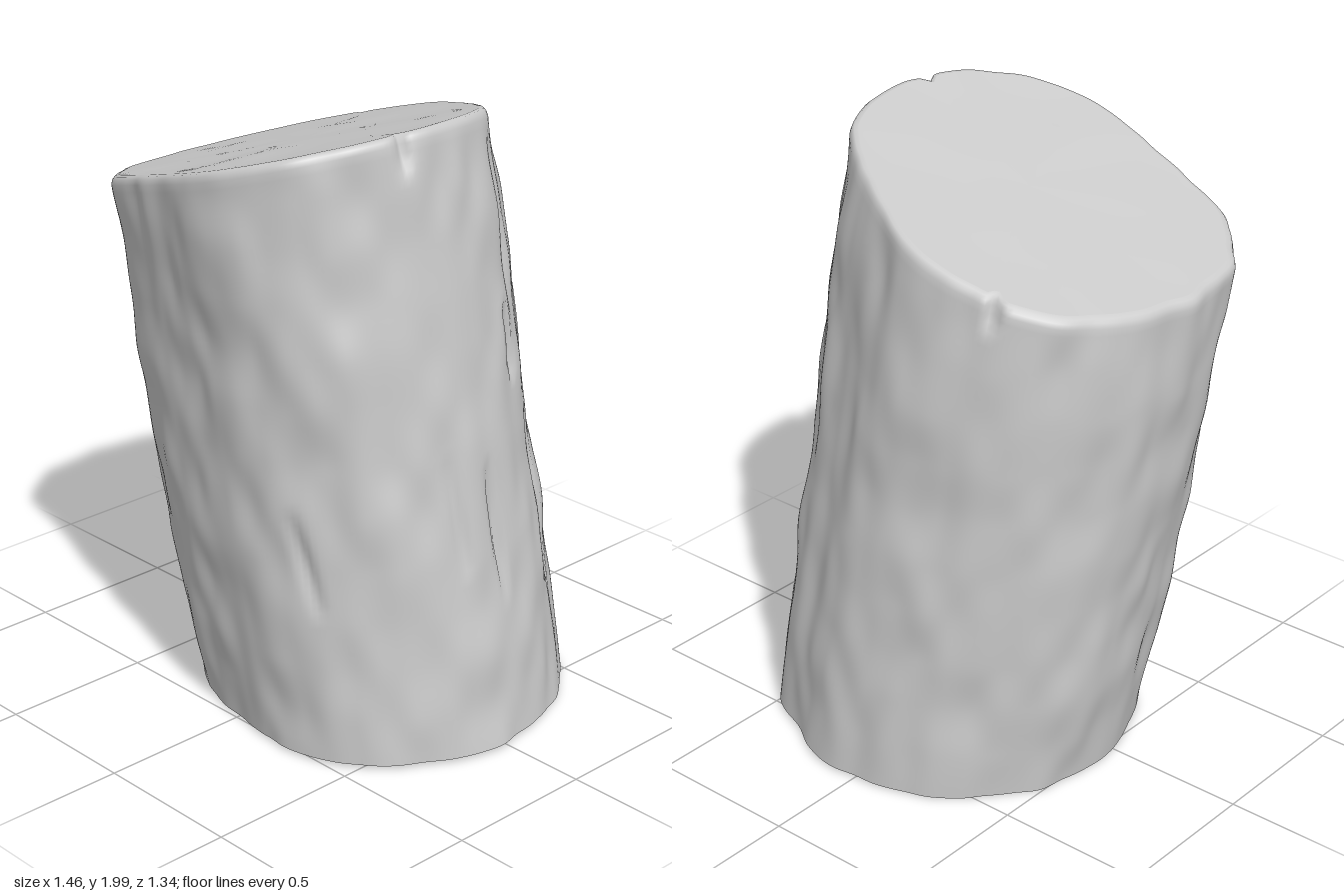
import * as THREE from 'three';

const AROUND = 240;
// Outline radii every 22.5 degrees, from +x towards +z
const BOTTOM = [.63, .64, .65, .61, .58, .58, .59, .60, .63, .64, .63, .62, .61, .575, .58, .60];
const TOP = [.60, .635, .66, .65, .575, .57, .62, .635, .62, .645, .66, .625, .575, .515, .525, .57];

// Splits and rim nicks in the bark: [start angle, start y, end angle, end y, depth, width] (degrees)
const CRACKS = [
  [-30, 1, -37, .18, .04, 1.5],
  [-16, 1.39, -19, 1.14, .035, 1.3],
  [-25, 1.9, -27, 1.3, .02, 3],
  [2, .95, -1, .48, .025, 1.4],
  [16, 1, 13, .6, .015, 2],
  [61, .85, 56, .5, .02, 2],
  [18, 2.08, 18, 1.88, .03, 1.8],
  [239, 1.82, 239, 1.62, .04, 1.6],
];

// Closed Catmull-Rom interpolation of a radius list
function outline(list, a) {
  const n = list.length, f = (a / (2 * Math.PI)) * n, i = Math.floor(f), t = f - i;
  const [p, q, r, s] = [-1, 0, 1, 2].map(k => list[(i + k + n) % n]);
  return q + .5 * t * (r - p + t * (2 * p - 5 * q + 4 * r - s + t * (3 * (q - r) + s - p)));
}

// Seeded value noise, periodic in u
function hash(i, j, seed) {
  let h = Math.imul(i + 101, 374761393) ^ Math.imul(j + 57, 668265263) ^ Math.imul(seed, 974711);
  h = Math.imul(h ^ (h >>> 13), 1274126177);
  return ((h ^ (h >>> 16)) >>> 0) / 2147483648 - 1;
}
function noise(u, v, period, seed) {
  const i = Math.floor(u), j = Math.floor(v), ease = t => t * t * (3 - 2 * t);
  const s = ease(u - i), t = ease(v - j);
  const g = (x, y) => hash((i + x) % period, j + y, seed);
  return THREE.MathUtils.lerp(
    THREE.MathUtils.lerp(g(0, 0), g(1, 0), s),
    THREE.MathUtils.lerp(g(0, 1), g(1, 1), s), t);
}

// Lumpy bark, stretched along the grain, with the splits cut in
function barkOffset(a, y) {
  const u = a / (2 * Math.PI);
  let d = .013 * noise(u * 22, y * 3, 22, 1) + .009 * noise(u * 44, y * 6, 44, 2);
  for (const [a0, y0, a1, y1, depth, width] of CRACKS) {
    const t = (y - y0) / (y1 - y0);
    if (t <= 0 || t >= 1) continue;
    const off = ((THREE.MathUtils.radToDeg(a) - (a0 + (a1 - a0) * t) + 900) % 360) - 180;
    d -= depth * Math.sin(Math.PI * t) ** .7 * Math.exp(-((off / width) ** 2));
  }
  return d;
}

// Point on the leaning trunk at angle a and height fraction t, scaled about its axis
function trunkPoint(a, t, scale = 1) {
  const lerp = THREE.MathUtils.lerp;
  const cx = lerp(.09, -.1, t), cz = lerp(-.06, .07, t);
  const heightAt = x => lerp(.01 + .012 * x, 1.85 + .3 * x, t); // between the sawn planes
  // Slight belly, fuller on the -x side
  const belly = (.01 - .012 * Math.cos(a)) * Math.sin(Math.PI * t);
  const smooth = lerp(outline(BOTTOM, a), outline(TOP, a), t) + belly;
  const r = (smooth + barkOffset(a, heightAt(cx + smooth * Math.cos(a)))) * scale;
  const x = cx + r * Math.cos(a);
  return new THREE.Vector3(x, heightAt(x), cz + r * Math.sin(a));
}

// Skin a stack of closed rings
function loft(rings, pointAt) {
  const pos = [], index = [];
  rings.forEach((ring, j) => {
    for (let i = 0; i < AROUND; i++) {
      pos.push(...pointAt((i / AROUND) * 2 * Math.PI, ring).toArray());
      if (j === rings.length - 1) continue;
      const k = (i + 1) % AROUND, p = j * AROUND, q = p + AROUND;
      index.push(p + i, q + i, p + k, p + k, q + i, q + k);
    }
  });
  const geo = new THREE.BufferGeometry();
  geo.setAttribute('position', new THREE.Float32BufferAttribute(pos, 3));
  geo.setIndex(index);
  geo.computeVertexNormals();
  return geo;
}

export function createModel() {
  const group = new THREE.Group();
  group.name = 'log';
  const material = new THREE.MeshStandardMaterial({ color: 0xcccccc });
  const add = (name, geo) => {
    const mesh = new THREE.Mesh(geo, material);
    mesh.name = name;
    group.add(mesh);
  };

  // Bark, with a softly worn upper rim
  const rings = [];
  for (let j = 0; j <= 72; j++) rings.push([j / 72 * .984, 1]);
  rings.push([.993, .992], [.998, .978], [1, .955]);
  add('bark', loft(rings, (a, [t, s]) => trunkPoint(a, t, s)));

  // Slanted sawn top, faintly uneven
  add('topCut', loft([.955, .8, .6, .4, .2, 0], (a, s) => {
    const p = trunkPoint(a, 1, s);
    if (s < .9) p.y += .004 * noise(p.x * 6 + 20, p.z * 6 + 20, 100, 3);
    return p;
  }));

  // Flat sawn base
  add('base', loft([0, .5, 1], (a, s) => trunkPoint(a, 0, s)));

  return group;
}
